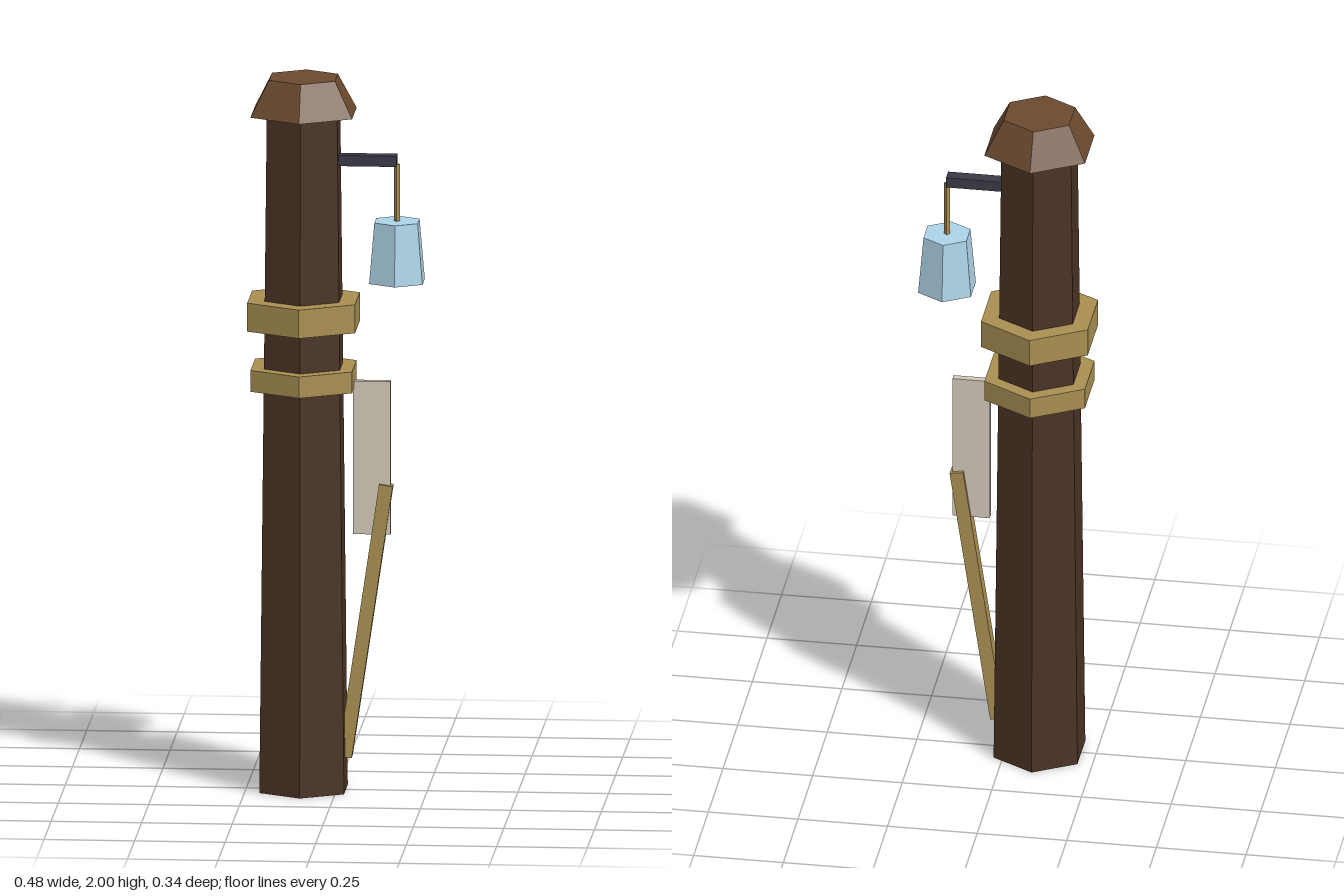
import * as THREE from 'three';

const AXIS = -0.092;  // x of the post's centre line
const HANG = 0.166;   // x of the hanging lantern

export function createModel() {
  const group = new THREE.Group();
  const mat = (color) => new THREE.MeshStandardMaterial({ color, flatShading: true });
  const darkWood = mat(0x4a3324), capWood = mat(0x6b4a30), paleWood = mat(0xa88f52);
  const iron = mat(0x3a3a46), glass = mat(0xaed4e8), cloth = mat(0xd2c8b8);

  const add = (name, geometry, material, x, y, z = 0) => {
    const mesh = new THREE.Mesh(geometry, material);
    mesh.name = name;
    mesh.position.set(x, y, z);
    group.add(mesh);
    return mesh;
  };
  // Tapered prism standing between two heights
  const prism = (name, material, x, y0, y1, rBottom, rTop, sides = 6) =>
    add(name, new THREE.CylinderGeometry(rTop, rBottom, y1 - y0, sides), material, x, (y0 + y1) / 2);

  // Hexagonal post, its cap and two collars
  prism('post', darkWood, AXIS, 0, 1.92, 0.135, 0.112);
  prism('cap', capWood, AXIS, 1.9, 2, 0.162, 0.105);
  prism('upperCollar', paleWood, AXIS, 1.3, 1.38, 0.172, 0.172);
  prism('lowerCollar', paleWood, AXIS, 1.13, 1.19, 0.162, 0.162);

  // Bracket arm with the lantern on a thin cord
  add('bracketArm', new THREE.BoxGeometry(0.22, 0.03, 0.036), iron, HANG - 0.11, 1.77);
  prism('cord', paleWood, HANG, 1.59, 1.76, 0.008, 0.008, 4);
  prism('lantern', glass, HANG, 1.43, 1.6, 0.085, 0.069);

  // Hanging panel and the slanted pole beneath it
  add('panel', new THREE.BoxGeometry(0.104, 0.43, 0.02), cloth, 0.097, 0.935);
  const pole = add('leaningPole', new THREE.BoxGeometry(0.038, 0.773, 0.04), paleWood, 0.08, 0.477);
  pole.rotation.z = -0.147;

  return group;
}
